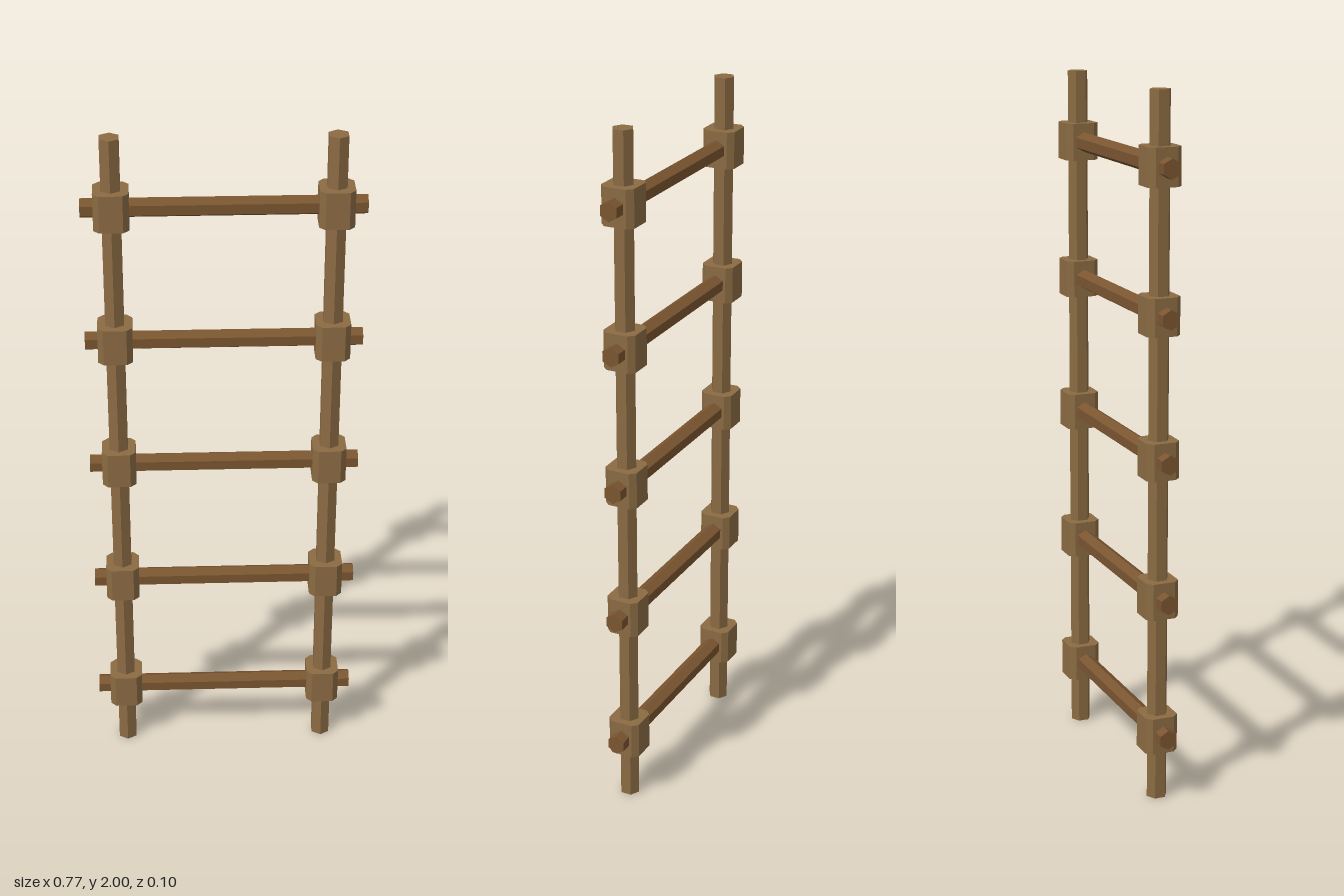
import * as THREE from 'three';

const wood = (color) => new THREE.MeshStandardMaterial({ color, flatShading: true });

// Square block with chamfered vertical edges
function jointGeometry(half, flat, height) {
  const s = new THREE.Shape([
    [half, -flat], [half, flat], [flat, half], [-flat, half],
    [-half, flat], [-half, -flat], [-flat, -half], [flat, -half],
  ].map(([x, y]) => new THREE.Vector2(x, y)));
  return new THREE.ExtrudeGeometry(s, { depth: height, bevelEnabled: false })
    .translate(0, 0, -height / 2)
    .rotateX(-Math.PI / 2);
}

export function createModel() {
  const ladder = new THREE.Group();
  ladder.name = 'ladder';
  const poleWood = wood(0x8b6b43);
  const rungWood = wood(0x7a5530);

  const add = (name, geometry, material, x, y) => {
    const mesh = new THREE.Mesh(geometry, material);
    mesh.name = name;
    mesh.position.set(x, y, 0);
    ladder.add(mesh);
  };

  // Six-sided poles, with an edge facing front and back
  const poleGeo = new THREE.CylinderGeometry(0.03, 0.03, 2, 6);
  // Six-sided rungs, with an edge facing up and down
  const rungGeo = new THREE.CylinderGeometry(0.028, 0.028, 0.766, 6)
    .rotateY(Math.PI / 2)
    .rotateZ(Math.PI / 2);
  const jointGeo = jointGeometry(0.048, 0.032, 0.106);

  const sides = [['left', 0.3], ['right', -0.3]];
  for (const [side, x] of sides) add(`${side}Pole`, poleGeo, poleWood, x, 1);

  // Rungs with a joint block where each crosses a pole
  for (let i = 0; i < 5; i++) {
    const y = 0.2 + i * 0.4;
    add(`rung${i + 1}`, rungGeo, rungWood, 0, y);
    for (const [side, x] of sides) add(`${side}Joint${i + 1}`, jointGeo, poleWood, x, y);
  }
  return ladder;
}
